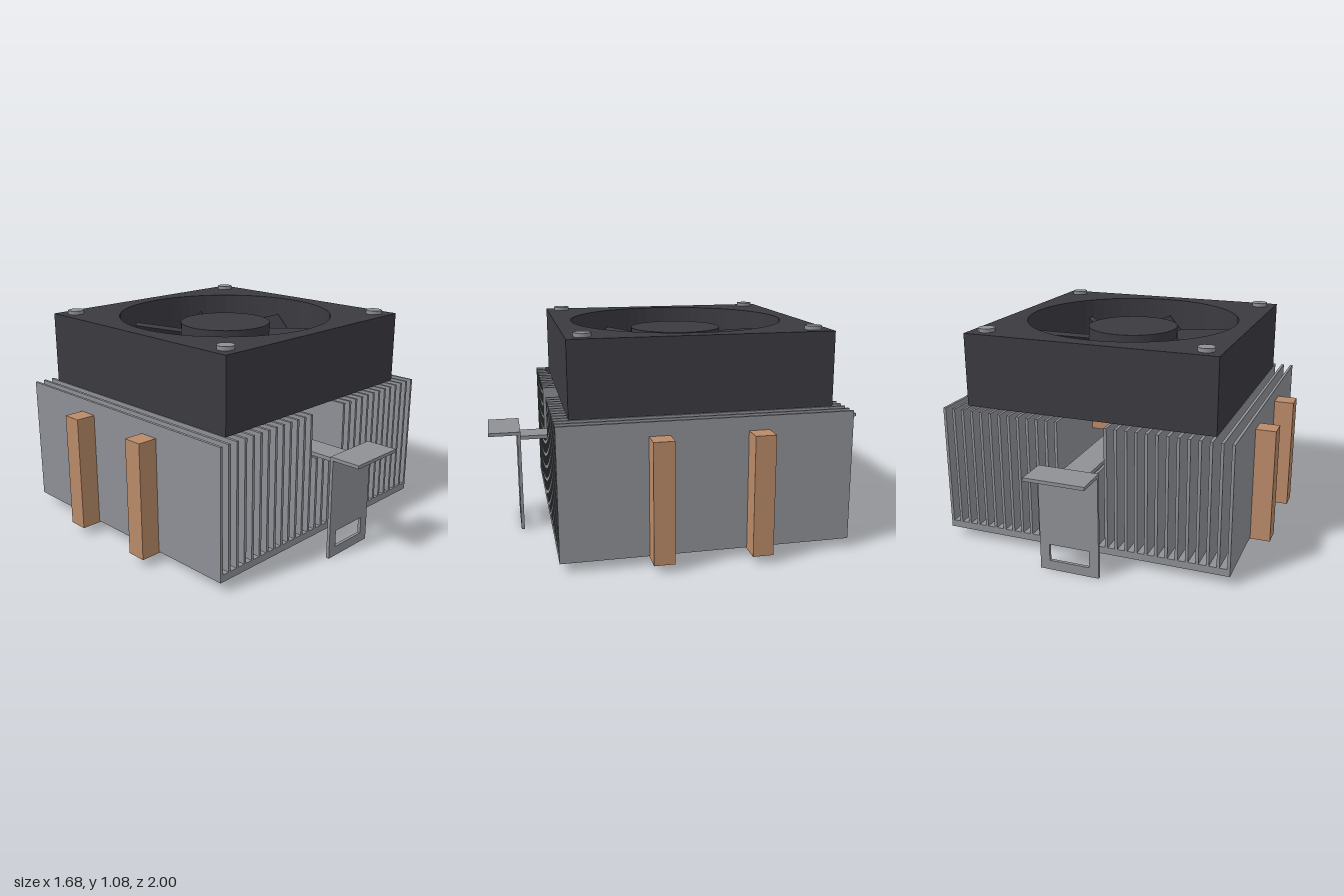
import * as THREE from 'three';

const steel = new THREE.MeshStandardMaterial({ color: 0x8e9095 });
steel.name = 'aluminium grey';
const copper = new THREE.MeshStandardMaterial({ color: 0xb98a68 });
copper.name = 'copper';
const plastic = new THREE.MeshStandardMaterial({ color: 0x3b3a40 });
plastic.name = 'dark plastic';

function add(parent, name, geometry, material) {
  const mesh = new THREE.Mesh(geometry, material);
  mesh.name = name;
  parent.add(mesh);
  return mesh;
}

// box given by its minimum and maximum on each axis
function box(parent, name, material, [x0, x1], [y0, y1], [z0, z1]) {
  const mesh = add(parent, name, new THREE.BoxGeometry(x1 - x0, y1 - y0, z1 - z0), material);
  mesh.position.set((x0 + x1) / 2, (y0 + y1) / 2, (z0 + z1) / 2);
  return mesh;
}

function rect(Type, x0, x1, y0, y1) {
  const s = new Type();
  s.moveTo(x0, y0);
  s.lineTo(x1, y0);
  s.lineTo(x1, y1);
  s.lineTo(x0, y1);
  s.closePath();
  return s;
}

function group(parent, name) {
  const g = new THREE.Group();
  g.name = name;
  parent.add(g);
  return g;
}

export function createModel() {
  const model = new THREE.Group();
  model.name = 'cpuCooler';

  // heat sink: base plate and fins, with a channel of short fins in the middle
  const sink = group(model, 'heatSink');
  box(sink, 'basePlate', steel, [-0.738, 0.738], [0.047, 0.083], [-0.705, 0.705]);
  const finCount = 30;
  for (let i = 0; i < finCount; i++) {
    const x = -0.731 + (1.462 * i) / (finCount - 1);
    const top = Math.abs(x) < 0.1 ? 0.46 : 0.693;
    box(sink, 'fin', steel, [x - 0.007, x + 0.007], [0.083, top], [-0.705, 0.705]);
  }

  // copper contact plate under the base
  box(model, 'contactPlate', copper, [-0.335, 0.335], [0.023, 0.047], [-0.335, 0.335]);
  box(model, 'contactPad', steel, [-0.25, 0.25], [0.018, 0.023], [-0.25, 0.25]);

  // two rectangular heat pipe loops running through the fins
  for (const side of [-1, 1]) {
    const loop = rect(THREE.Shape, -0.838, 0.838, 0.04, 0.625);
    loop.holes.push(rect(THREE.Path, -0.738, 0.738, 0.14, 0.525));
    const pipe = add(model, 'heatPipe',
      new THREE.ExtrudeGeometry(loop, { depth: 0.1, bevelEnabled: false }), copper);
    pipe.position.z = side * 0.236 - 0.05;
  }

  // retaining clip: bar through the channel, slotted legs and finger tabs
  const clip = group(model, 'retainingClip');
  box(clip, 'clipBar', steel, [-0.068, 0.068], [0.462, 0.481], [-0.845, 0.845]);
  for (const side of [-1, 1]) {
    const end = group(clip, 'clipEnd');
    const plate = rect(THREE.Shape, -0.15, 0.15, 0, 0.508);
    plate.holes.push(rect(THREE.Path, -0.102, 0.102, 0.048, 0.133));
    const leg = add(end, 'clipLeg',
      new THREE.ExtrudeGeometry(plate, { depth: 0.016, bevelEnabled: false }), steel);
    leg.position.z = 0.84;
    box(end, 'clipTab', steel, [-0.15, 0.15], [0.508, 0.525], [0.84, 1]);
    if (side < 0) end.rotation.y = Math.PI;
  }

  // fan housing with a round opening
  const fan = group(model, 'fan');
  const frame = rect(THREE.Shape, -0.637, 0.637, -0.637, 0.637);
  frame.holes.push(new THREE.Path().absarc(0, 0, 0.553, 0, Math.PI * 2, true));
  const housing = add(fan, 'fanHousing', new THREE.ExtrudeGeometry(frame,
    { depth: 0.367, bevelEnabled: false, curveSegments: 32 }), plastic);
  housing.rotation.x = -Math.PI / 2;
  housing.position.y = 0.695;

  // hub and seven pitched blades
  const hub = add(fan, 'fanHub', new THREE.CylinderGeometry(0.235, 0.235, 0.3, 48), plastic);
  hub.position.y = 0.87;
  for (let i = 0; i < 7; i++) {
    const arm = group(fan, 'bladeArm');
    arm.position.y = 0.87;
    arm.rotation.y = (i * Math.PI * 2) / 7;
    const blade = add(arm, 'fanBlade', new THREE.BoxGeometry(0.325, 0.022, 0.265), plastic);
    blade.position.x = 0.3625;
    blade.rotation.x = Math.PI / 4;
  }

  // corner screws
  for (const sx of [-1, 1]) {
    for (const sz of [-1, 1]) {
      const screw = add(fan, 'screw', new THREE.CylinderGeometry(0.042, 0.042, 0.02, 12), steel);
      screw.position.set(sx * 0.555, 1.071, sz * 0.555);
    }
  }
  return model;
}
